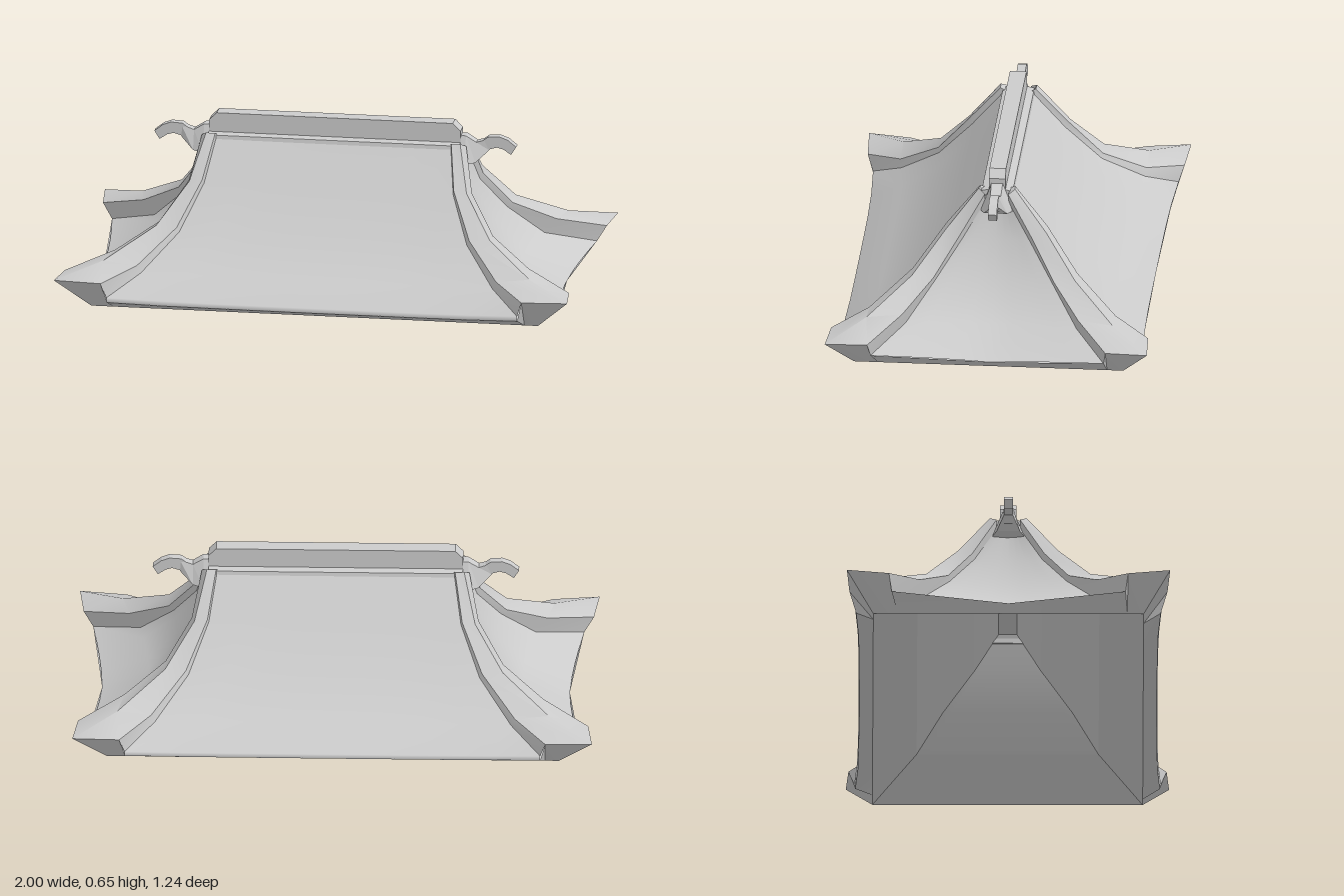
import * as THREE from 'three';
import { toCreasedNormals } from 'three/addons/utils/BufferGeometryUtils.js';

const material = new THREE.MeshStandardMaterial({ color: 0xcccccc, side: THREE.DoubleSide });
const flat = new THREE.MeshStandardMaterial({ color: 0xcccccc, side: THREE.DoubleSide, flatShading: true });

// Skin between rows of points; rows may close on themselves, ends may be capped.
function loft(rows, { closed = false, capStart = false, capEnd = false } = {}) {
  const n = rows[0].length, index = [];
  for (let r = 0; r < rows.length - 1; r++) {
    for (let c = 0; c < (closed ? n : n - 1); c++) {
      const a = r * n + c, b = r * n + (c + 1) % n;
      index.push(a, b, a + n, b, b + n, a + n);
    }
  }
  const last = (rows.length - 1) * n;
  for (let c = 1; c < n - 1; c++) {
    if (capStart) index.push(0, c + 1, c);
    if (capEnd) index.push(last, last + c, last + c + 1);
  }
  const geo = new THREE.BufferGeometry();
  geo.setAttribute('position', new THREE.Float32BufferAttribute(rows.flat(2), 3));
  geo.setIndex(index);
  geo.computeVertexNormals();
  return geo;
}

// Mirrored copy of rows; reversing each row keeps the faces outward.
const flip = (rows, sx, sz) => rows.map(row => {
  const out = row.map(([x, y, z]) => [x * sx, y, z * sz]);
  return sx * sz < 0 ? out.reverse() : out;
});

// Full ring from one quadrant running from the +x axis to the +z axis.
function ring(q) {
  const m = (sx, sz) => q.map(([x, y, z]) => [x * sx, y, z * sz]);
  return [...m(1, 1), ...m(-1, 1).reverse().slice(1),
    ...m(-1, -1).slice(1), ...m(1, -1).reverse().slice(1, -1)];
}

export function createModel() {
  const group = new THREE.Group();
  const add = (name, geo, mat = material) => {
    const mesh = new THREE.Mesh(geo, mat);
    mesh.name = name;
    group.add(mesh);
  };

  // Edges where the slopes meet the corner ribs, from ridge to eave
  const frontEdge = [[.455, .57, .05], [.485, .41, .18], [.56, .25, .315], [.685, .125, .47], [.8, .055, .59]];
  const sideEdge = [[.505, .53, .045], [.54, .385, .13], [.63, .25, .225], [.76, .12, .33], [.945, .06, .45]];
  // Middle line of each slope: [distance from axis, height]
  const frontMid = [[.05, .57], [.175, .41], [.31, .25], [.455, .12], [.575, .045]];
  const sideMid = [[.49, .53], [.53, .385], [.61, .245], [.72, .11], [.9, .03]];
  const steps = [-1, -.75, -.5, -.25, 0, .25, .5, .75, 1];

  // Front and back slopes, rolled under at the eave
  const frontRows = frontEdge.map(([x, y, z], i) => steps.map(u => {
    const k = u ** 4, [mz, my] = frontMid[i];
    return [x * u, my + (y - my) * k, mz + (z - mz) * k];
  }));
  frontRows.push(frontRows[4].map(([x, y, z]) => [x, y - .02, z - .004]));
  add('frontSlope', loft(frontRows));
  add('backSlope', loft(flip(frontRows, 1, -1)));

  // Left and right slopes
  const sideRows = sideEdge.map(([x, y, z], i) => steps.map(u => {
    const k = Math.abs(u), [mx, my] = sideMid[i];
    return [mx + (x - mx) * k ** 1.5, my + (y - my) * k, -z * u];
  }));
  add('leftSlope', loft(sideRows));
  add('rightSlope', loft(flip(sideRows, -1, 1)));

  // Corner ribs, widening into upturned tips
  const innerTop = [[.46, .578, .068], [.49, .428, .195], [.57, .268, .318], [.7, .155, .475], [.82, .117, .612]];
  const crest = [[.495, .58, .07], [.54, .42, .195], [.65, .272, .315], [.83, .17, .475], [1, .125, .622]];
  const outerTop = [[.515, .565, .045], [.552, .405, .138], [.65, .265, .232], [.805, .175, .34], [.982, .12, .46]];
  const ribRows = frontEdge.map((p, i) => [p, innerTop[i], crest[i], outerTop[i], sideEdge[i]]);
  for (const sx of [1, -1]) {
    for (const sz of [1, -1]) {
      const rows = flip(ribRows, sx, sz).map(row => row.reverse());
      add('cornerRib', toCreasedNormals(loft(rows, { capStart: true }), 0.7));
    }
  }

  // Eave underside
  const eave = [[.9, .03, 0], sideEdge[4], outerTop[4], crest[4], innerTop[4],
    [.8, .035, .586], [.6, .028, .576], [0, .025, .571]];
  const rect = (x, y, z) => [[x, y, 0], [x, y, z * .82], [x, y, z * .88], [x, y, z],
    [x * .94, y, z], [x * .9, y, z], [x * .67, y, z], [0, y, z]];
  const bottom = ring(rect(.87, 0, .52));
  add('eaveUnderside', toCreasedNormals(loft([ring(eave), bottom], { closed: true }), 0.6));

  // Steep inner rim and the ceiling that follows the slopes
  const rim = ring(rect(.69, .13, .35));
  add('innerRim', loft([bottom, rim], { closed: true }), flat);
  const ceiling = [rim, ring(rect(.57, .25, .25)), ring(rect(.5, .4, .125)), ring(rect(.455, .53, .035))];
  add('ceiling', toCreasedNormals(loft(ceiling, { closed: true, capEnd: true }), 0.6));

  // Ridge beam with clipped upper corners, on a low sloping base
  const beam = new THREE.Shape([[-.49, .54], [.49, .54], [.49, .62], [.46, .65], [-.46, .65], [-.49, .62]]
    .map(p => new THREE.Vector2(...p)));
  add('ridgeBeam', new THREE.ExtrudeGeometry(beam, { depth: .064, bevelEnabled: false }).translate(0, 0, -.032), flat);
  const baseRow = x => [[x, .55, .064], [x, .568, .06], [x, .575, .03], [x, .575, -.03], [x, .568, -.06], [x, .55, -.064]];
  add('ridgeBase', loft([baseRow(-.49), baseRow(.49)], { closed: true, capStart: true, capEnd: true }), flat);

  // End brackets and curled finials
  const section = (x, low, high, wide, narrow) =>
    [[x, low, wide], [x, high, narrow], [x, high, -narrow], [x, low, -wide]];
  const bracketRows = [section(.46, .495, .6, .062, .022), section(.51, .495, .6, .062, .022),
    section(.55, .5, .575, .045, .02), section(.6, .545, .59, .017, .015)];
  const hook = new THREE.Shape([[.53, .51], [.575, .52], [.6, .548], [.63, .557], [.655, .55], [.685, .53],
    [.705, .562], [.672, .588], [.64, .6], [.595, .597], [.565, .575], [.53, .565]].map(p => new THREE.Vector2(...p)));
  for (const s of [1, -1]) {
    add('endBracket', loft(flip(bracketRows, s, 1), { closed: true, capStart: true, capEnd: true }), flat);
    const finial = new THREE.ExtrudeGeometry(hook, { depth: .034, bevelEnabled: false }).translate(0, 0, -.017);
    if (s < 0) finial.rotateY(Math.PI);
    add('finial', finial, flat);
  }
  return group;
}
